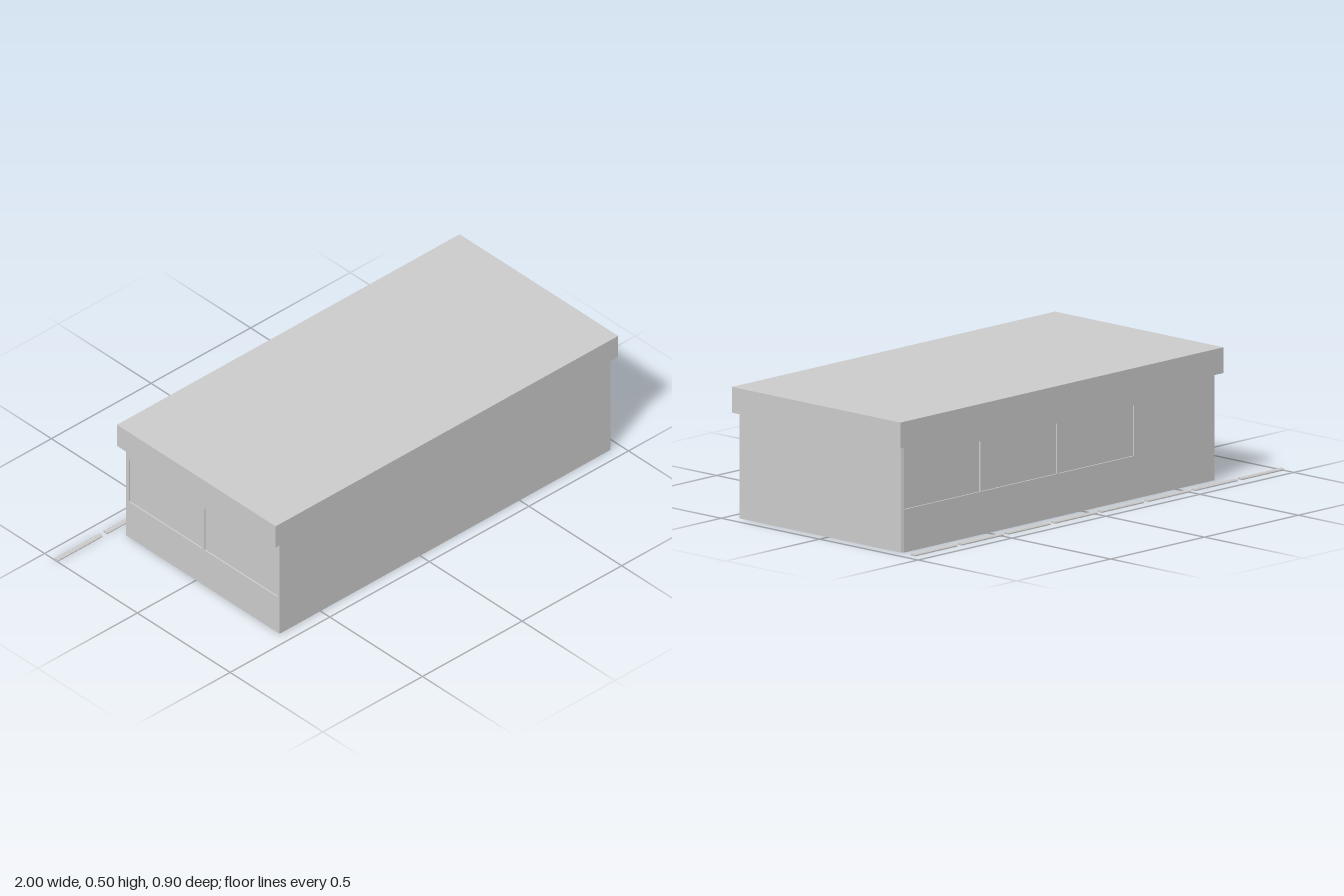
import * as THREE from 'three';

const material = new THREE.MeshStandardMaterial({ color: 0xcccccc, flatShading: true });

function part(name, geometry, parent) {
  const mesh = new THREE.Mesh(geometry, material);
  mesh.name = name;
  parent.add(mesh);
  return mesh;
}

// Box given by its minimum and maximum corners
function block(name, [x0, y0, z0], [x1, y1, z1], parent) {
  const mesh = part(name, new THREE.BoxGeometry(x1 - x0, y1 - y0, z1 - z0), parent);
  mesh.position.set((x0 + x1) / 2, (y0 + y1) / 2, (z0 + z1) / 2);
  return mesh;
}

function polygon(points, Type = THREE.Shape) {
  return new Type(points.map(([x, y]) => new THREE.Vector2(x, y)));
}

const rectangle = (a, b, c, d) => [[a, b], [c, b], [c, d], [a, d]];

const WALL_TOP = 0.405, SILL = 0.162, HEAD = 0.353, SKIN = 0.006;

// Thin outer wall with a row of window openings
function windowWall(name, from, to, openings, parent) {
  const shape = polygon(rectangle(from, 0, to, WALL_TOP));
  for (const [a, b] of openings) {
    shape.holes.push(polygon(rectangle(a, SILL, b, HEAD), THREE.Path));
  }
  return part(name, new THREE.ExtrudeGeometry(shape, { depth: SKIN, bevelEnabled: false }), parent);
}

export function createModel() {
  const model = new THREE.Group();
  model.name = 'flatRoofBuilding';

  // Main volume, whose faces also form the window panes
  block('buildingCore', [-0.699, 0, -0.372], [0.955, WALL_TOP, 0.45], model);

  // Back wall with three windows
  const backWindows = [];
  for (let i = 0; i < 3; i++) backWindows.push([-0.277 + i * 0.409, 0.126 + i * 0.409]);
  windowWall('backWall', -0.705, 0.95, backWindows, model).position.z = -0.378;

  // Right wall with two windows
  const sideWall = windowWall('rightWall', -0.372, 0.45, [[-0.362, 0.034], [0.044, 0.44]], model);
  sideWall.rotation.y = -Math.PI / 2;
  sideWall.position.x = -0.699;

  // Overhanging flat roof, flush with the front
  block('roof', [-0.725, WALL_TOP, -0.405], [0.995, 0.502, 0.45], model);

  // Row of low kerbs with chamfered tops behind the building
  const kerbs = new THREE.Group();
  kerbs.name = 'kerbs';
  model.add(kerbs);
  const profile = polygon([[-0.0105, 0], [0.0105, 0], [0.0105, 0.004], [0.006, 0.008], [-0.006, 0.008], [-0.0105, 0.004]]);
  const kerbGeometry = new THREE.ExtrudeGeometry(profile, { depth: 0.226, bevelEnabled: false });
  kerbGeometry.rotateY(Math.PI / 2);
  for (let i = 0; i < 8; i++) {
    part('kerb', kerbGeometry, kerbs).position.set(-1 + i * 0.2485, 0, -0.44);
  }

  return model;
}
